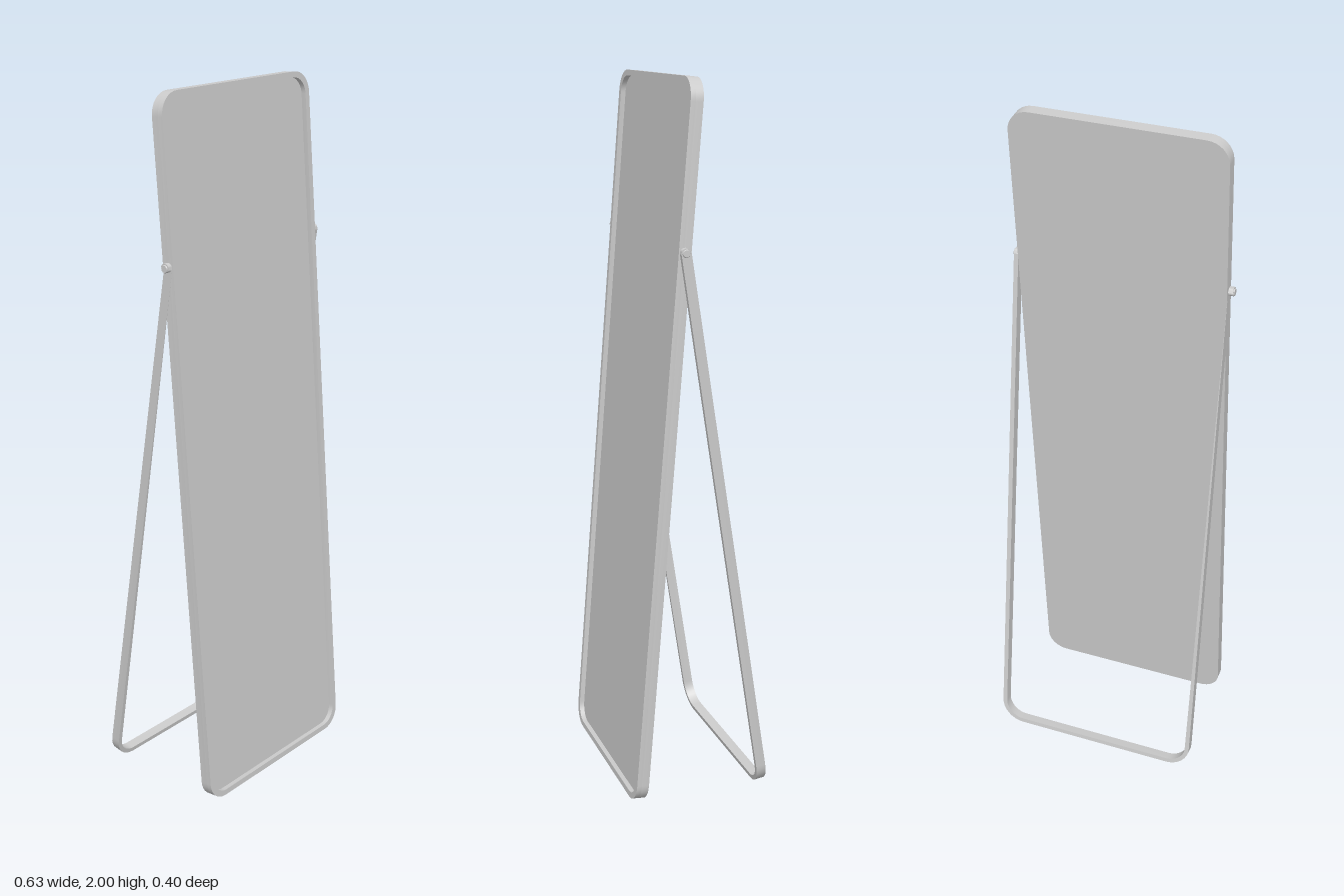
import * as THREE from 'three';
import { toCreasedNormals } from 'three/addons/utils/BufferGeometryUtils.js';

const material = new THREE.MeshStandardMaterial({ color: 0xcccccc });

function addMesh(parent, name, geometry) {
  const mesh = new THREE.Mesh(toCreasedNormals(geometry, 0.6), material);
  mesh.name = name;
  parent.add(mesh);
  return mesh;
}

// Rounded rectangle standing on y = y0, centred on x = 0
function roundedRect(target, halfWidth, y0, y1, r) {
  const q = Math.PI / 2;
  target.moveTo(-halfWidth + r, y0);
  target.absarc(halfWidth - r, y0 + r, r, -q, 0);
  target.absarc(halfWidth - r, y1 - r, r, 0, q);
  target.absarc(-halfWidth + r, y1 - r, r, q, 2 * q);
  target.absarc(-halfWidth + r, y0 + r, r, 2 * q, 3 * q);
  target.closePath();
  return target;
}

const extrude = (shape, depth) =>
  new THREE.ExtrudeGeometry(shape, { depth, bevelEnabled: false, curveSegments: 4 });

export function createModel() {
  const model = new THREE.Group();
  model.name = 'standingMirror';

  // Mirror leaning back, pivoting on its lower back edge
  const height = 2.0037, halfWidth = 0.296, backDepth = 0.021, thickness = 0.035, rim = 0.016;
  const mirror = new THREE.Group();
  mirror.name = 'mirror';
  mirror.position.z = 0.163;
  mirror.rotation.x = -0.0805;
  model.add(mirror);

  // Solid panel whose front is the recessed glass
  addMesh(mirror, 'mirrorPanel',
    extrude(roundedRect(new THREE.Shape(), halfWidth, 0, height, 0.06), backDepth));

  // Raised rim around the glass
  const rimShape = roundedRect(new THREE.Shape(), halfWidth, 0, height, 0.06);
  rimShape.holes.push(roundedRect(new THREE.Path(), halfWidth - rim, rim, height - rim, 0.048));
  addMesh(mirror, 'frameRim', extrude(rimShape, thickness - backDepth)).position.z = backDepth;

  // U-shaped stand hanging from the pivots
  const length = 1.5747, outer = 0.31, inner = 0.297, barWidth = 0.028, r = 0.07;
  const bar = outer - inner, ri = r - bar, q = Math.PI / 2;
  const stand = new THREE.Group();
  stand.name = 'stand';
  stand.position.set(0, 1.558, 0.056);
  stand.rotation.x = 0.1543;
  model.add(stand);

  const u = new THREE.Shape();
  u.moveTo(-outer, 0);
  u.absarc(-outer + r, -length + r, r, 2 * q, 3 * q);
  u.absarc(outer - r, -length + r, r, -q, 0);
  u.lineTo(outer, 0);
  u.lineTo(inner, 0);
  u.absarc(inner - ri, -length + bar + ri, ri, 0, -q, true);
  u.absarc(-inner + ri, -length + bar + ri, ri, 3 * q, 2 * q, true);
  u.lineTo(-inner, 0);
  u.closePath();
  addMesh(stand, 'standLoop', extrude(u, barWidth)).position.z = -barWidth / 2;

  for (const side of [-1, 1]) {
    const label = side > 0 ? 'left' : 'right';

    // Rounded upper end of the leg
    const cap = new THREE.CylinderGeometry(barWidth / 2, barWidth / 2, bar, 12, 1, false, 0, Math.PI);
    cap.rotateZ(Math.PI / 2);
    addMesh(stand, label + 'LegEnd', cap).position.x = side * (outer + inner) / 2;

    // Pivot knob with softened rim
    const profile = [[0, -0.012], [0.011, -0.012], [0.011, 0.002], [0.0095, 0.0045], [0.007, 0.005], [0, 0.005]]
      .map(([x, y]) => new THREE.Vector2(x, y));
    const knob = new THREE.LatheGeometry(profile, 16);
    knob.rotateZ(-side * Math.PI / 2);
    addMesh(stand, label + 'PivotKnob', knob).position.x = side * 0.3085;
  }

  return model;
}
